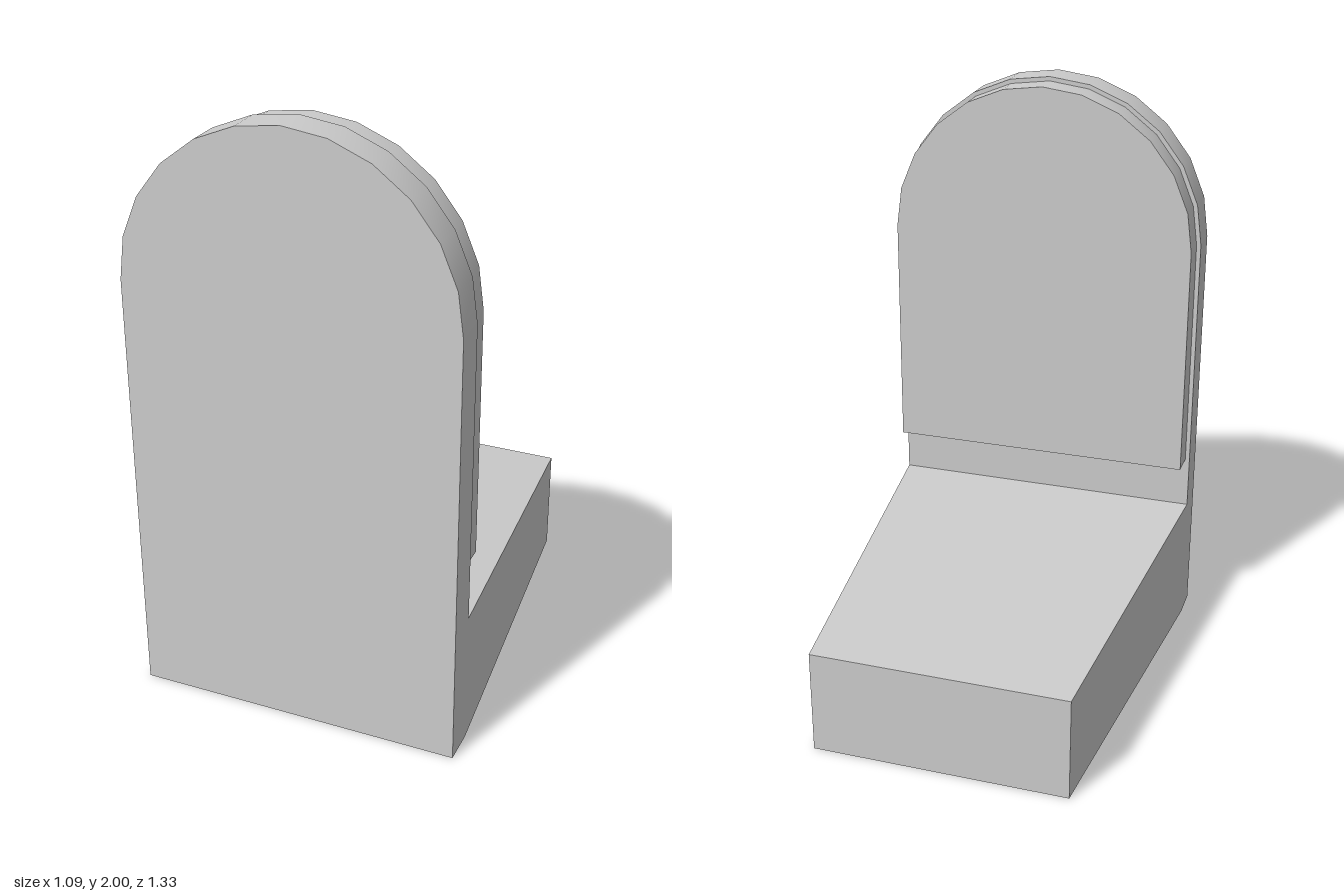
import * as THREE from 'three';

const material = new THREE.MeshStandardMaterial({ color: 0xcccccc, side: THREE.DoubleSide });

const SPRING = 1.455; // height where the arches begin
const BACK_Z = -0.665, JOIN_Z = 0.55, FRONT_Z = 0.665;

// Arch outline, from the foot at +x over the top to the foot at -x
function archPoints(radius, bottom) {
  const points = [new THREE.Vector2(radius, bottom)];
  for (let i = 0; i <= 12; i++) {
    const a = (i / 12) * Math.PI;
    points.push(new THREE.Vector2(radius * Math.cos(a), SPRING + radius * Math.sin(a)));
  }
  points.push(new THREE.Vector2(-radius, bottom));
  return points;
}

function addMesh(group, name, geometry) {
  const mesh = new THREE.Mesh(geometry, material);
  mesh.name = name;
  group.add(mesh);
  return mesh;
}

// Flat arched face at depth z, turned to the front (+1) or the back (-1)
function addFace(group, name, radius, bottom, z, facing) {
  const mesh = addMesh(group, name, new THREE.ShapeGeometry(new THREE.Shape(archPoints(radius, bottom))));
  mesh.position.z = z;
  if (facing < 0) mesh.rotation.y = Math.PI;
}

// Smooth strip along the sides and over the top of an arch
function addRim(group, name, radius, bottom, z0, z1) {
  const positions = [], index = [];
  archPoints(radius, bottom).forEach((p, i) => {
    positions.push(p.x, p.y, z0, p.x, p.y, z1);
    if (i > 0) {
      const a = 2 * i - 2;
      index.push(a, a + 2, a + 1, a + 2, a + 3, a + 1);
    }
  });
  const geometry = new THREE.BufferGeometry();
  geometry.setAttribute('position', new THREE.Float32BufferAttribute(positions, 3));
  geometry.setIndex(index);
  geometry.computeVertexNormals();
  addMesh(group, name, geometry);
}

// Flat four-cornered panel, corners counter-clockwise from outside
function addPanel(group, name, a, b, c, d) {
  const geometry = new THREE.BufferGeometry();
  geometry.setAttribute('position', new THREE.Float32BufferAttribute([a, b, c, a, c, d].flat(), 3));
  geometry.computeVertexNormals();
  addMesh(group, name, geometry);
}

function namedGroup(parent, name) {
  const group = new THREE.Group();
  group.name = name;
  parent.add(group);
  return group;
}

export function createModel() {
  const model = new THREE.Group();
  model.name = 'archedSeat';
  const R = 0.545, seatJoinY = 0.457, seatEndY = 0.365, endX = 0.437;

  // Hollow upright slab, open underneath and into the seat
  const slab = namedGroup(model, 'backrestSlab');
  addFace(slab, 'slabOuterFace', R, 0, FRONT_Z, 1);
  addFace(slab, 'slabInnerFace', R, seatJoinY, JOIN_Z, -1);
  addRim(slab, 'slabRim', R, 0, JOIN_Z, FRONT_Z);

  // Arched pad on the seat side of the slab
  const pad = namedGroup(model, 'backrestPad');
  const padR = 0.53, padBottom = 0.64, padZ = 0.457;
  addFace(pad, 'padFace', padR, padBottom, padZ, -1);
  addRim(pad, 'padRim', padR, padBottom, padZ, JOIN_Z);
  addPanel(pad, 'padUnderside',
    [-padR, padBottom, padZ], [padR, padBottom, padZ],
    [padR, padBottom, JOIN_Z], [-padR, padBottom, JOIN_Z]);

  // Hollow tapering seat with a sloping top and no floor
  const seat = namedGroup(model, 'seat');
  const joinTop = s => [s * R, seatJoinY, JOIN_Z], joinFoot = s => [s * R, 0, JOIN_Z];
  const endTop = s => [s * endX, seatEndY, BACK_Z], endFoot = s => [s * endX, 0, BACK_Z];
  addPanel(seat, 'seatTop', joinTop(-1), joinTop(1), endTop(1), endTop(-1));
  addPanel(seat, 'seatEnd', endFoot(1), endFoot(-1), endTop(-1), endTop(1));
  addPanel(seat, 'seatLeftSide', joinFoot(1), endFoot(1), endTop(1), joinTop(1));
  addPanel(seat, 'seatRightSide', endFoot(-1), joinFoot(-1), joinTop(-1), endTop(-1));

  return model;
}
